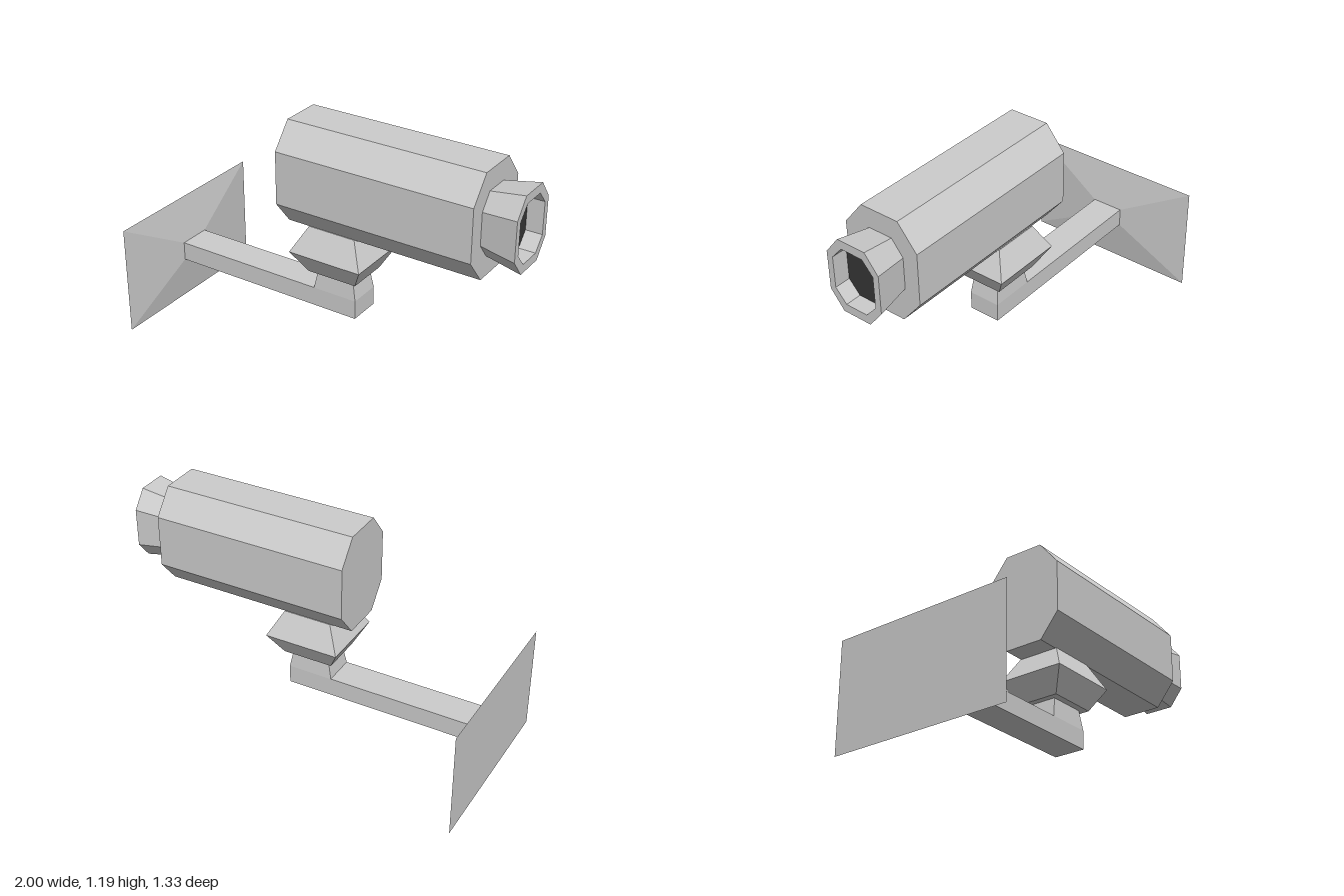
import * as THREE from 'three';

const grey = new THREE.MeshStandardMaterial({ color: 0xcccccc, flatShading: true });
const dark = new THREE.MeshStandardMaterial({ color: 0x363636, flatShading: true });

// Skin a row of matching rings with flat faces; rings turn counterclockwise seen from the far end.
function loft(name, rings, capStart = true, capEnd = true, material = grey) {
  const pos = [];
  const tri = (...pts) => pts.forEach((p) => pos.push(...p));
  const n = rings[0].length;
  for (let r = 0; r + 1 < rings.length; r++) {
    const [p, q] = [rings[r], rings[r + 1]];
    for (let i = 0; i < n; i++) {
      const j = (i + 1) % n;
      tri(p[i], p[j], q[j]);
      tri(p[i], q[j], q[i]);
    }
  }
  const first = rings[0], last = rings[rings.length - 1];
  for (let i = 1; i + 1 < n; i++) {
    if (capStart) tri(first[0], first[i + 1], first[i]);
    if (capEnd) tri(last[0], last[i], last[i + 1]);
  }
  const geometry = new THREE.BufferGeometry();
  geometry.setAttribute('position', new THREE.Float32BufferAttribute(pos, 3));
  geometry.computeVertexNormals();
  const mesh = new THREE.Mesh(geometry, material);
  mesh.name = name;
  return mesh;
}

const AXIS_Z = 0.111; // centre line of the whole fixture
const BODY_Y = 0.928; // height of the camera axis

// Chamfered octagon across x: half height hy, half width hz, half side hs, half top edge ht
const octagon = (x, hy, hz, hs, ht) =>
  [[hy, -ht], [hy, ht], [hs, hz], [-hs, hz], [-hy, ht], [-hy, -ht], [-hs, -hz], [hs, -hz]]
    .map(([y, z]) => [x, BODY_Y + y, AXIS_Z + z]);

// Rectangle across x
const rectX = (x, y, hy, hz) =>
  [[hy, -hz], [hy, hz], [-hy, hz], [-hy, -hz]].map(([dy, dz]) => [x, y + dy, AXIS_Z + dz]);

// Rectangle across y
const rectY = (y, x, hx, hz) =>
  [[hz, -hx], [hz, hx], [-hz, hx], [-hz, -hx]].map(([dz, dx]) => [x + dx, y, AXIS_Z + dz]);

export function createModel() {
  const model = new THREE.Group();
  model.name = 'securityCamera';

  // Everything is built along x, then turned toward the front
  const fixture = new THREE.Group();
  fixture.name = 'fixture';
  fixture.rotation.y = -0.4105;
  model.add(fixture);

  // Wall plate, tapering to the arm's cross-section
  fixture.add(loft('wallPlate', [rectX(-0.836, 0.28, 0.28, 0.475), rectX(-0.798, 0.282, 0.048, 0.083)]));

  // Arm and the short tapered post on its end
  fixture.add(loft('arm', [rectX(-0.8, 0.282, 0.048, 0.083), rectX(0.24, 0.282, 0.048, 0.083)]));
  fixture.add(loft('post', [rectY(0.33, 0.123, 0.117, 0.083), rectY(0.43, 0.123, 0.098, 0.073)]));

  // Faceted swivel joint
  fixture.add(loft('swivelJoint', [
    rectY(0.43, 0.123, 0.131, 0.107),
    rectY(0.545, 0.123, 0.194, 0.175),
    rectY(0.672, 0.123, 0.125, 0.108),
  ]));

  // Camera housing
  fixture.add(loft('housing', [
    octagon(-0.118, 0.2575, 0.204, 0.1325, 0.103),
    octagon(0.896, 0.2575, 0.204, 0.1325, 0.103),
  ]));

  // Flared lens hood: outer wall, rim and recess in one skin
  fixture.add(loft('lensHood', [
    octagon(0.896, 0.157, 0.123, 0.081, 0.063),
    octagon(1.071, 0.188, 0.148, 0.098, 0.077),
    octagon(1.071, 0.145, 0.116, 0.08, 0.059),
    octagon(0.99, 0.145, 0.116, 0.08, 0.059),
  ], false, false));

  // Dark lens at the bottom of the recess
  fixture.add(loft('lens', [
    octagon(0.97, 0.145, 0.116, 0.08, 0.059),
    octagon(0.99, 0.145, 0.116, 0.08, 0.059),
  ], true, true, dark));

  return model;
}
